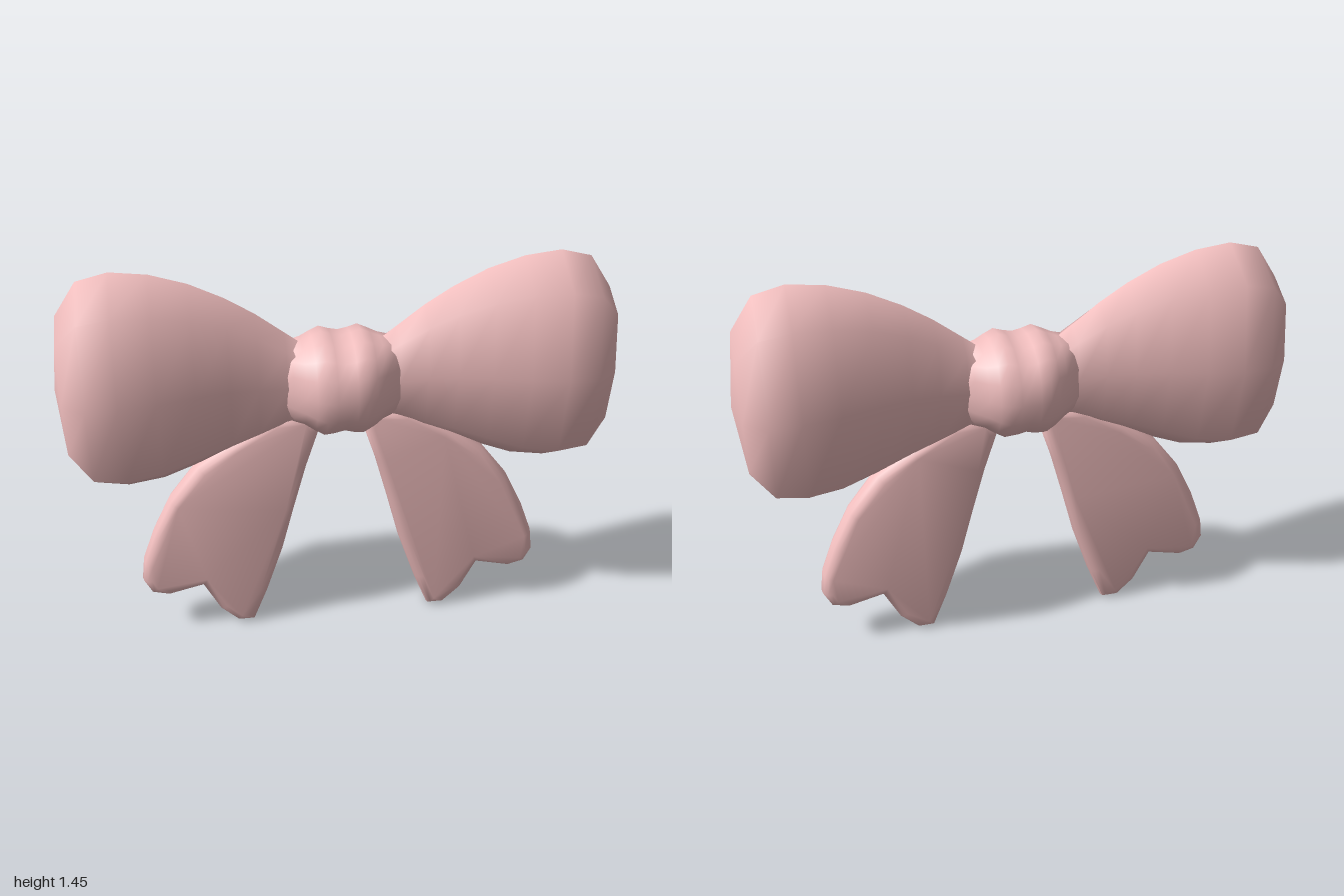
import * as THREE from 'three';
import { mergeVertices, toCreasedNormals } from 'three/addons/utils/BufferGeometryUtils.js';

const pink = new THREE.MeshStandardMaterial({ color: 0xf2bfbf });

// Smooth skin over rings along x; each station is [x, top, bottom, half depth]
function loft(stations, sides, fullness) {
  const pos = [], index = [];
  const fuller = (v) => Math.sign(v) * Math.abs(v) ** fullness;
  for (const [x, top, bottom, depth] of stations) {
    for (let j = 0; j < sides; j++) {
      const a = (j / sides) * Math.PI * 2;
      pos.push(x, (top + bottom) / 2 + ((top - bottom) / 2) * fuller(Math.cos(a)), depth * fuller(Math.sin(a)));
    }
  }
  for (let i = 0; i < stations.length - 1; i++) {
    for (let j = 0; j < sides; j++) {
      const k = (j + 1) % sides;
      const a = i * sides + j, b = i * sides + k;
      index.push(a, b, a + sides, b, b + sides, a + sides);
    }
  }
  const g = new THREE.BufferGeometry();
  g.setAttribute('position', new THREE.Float32BufferAttribute(pos, 3));
  g.setIndex(index);
  const merged = mergeVertices(g, 1e-4);
  merged.computeVertexNormals();
  return merged;
}

const mirrored = (stations) => stations.map(([x, ...rest]) => [-x, ...rest]).reverse();

// Puffed loop, from inside the knot to the closed outer end
const loopStations = [
  [0.05, 1.13, 0.89, 0.09], [0.14, 1.16, 0.87, 0.095], [0.2, 1.205, 0.85, 0.1],
  [0.3, 1.28, 0.8, 0.115], [0.4, 1.342, 0.762, 0.14], [0.52, 1.4, 0.71, 0.17],
  [0.65, 1.44, 0.66, 0.2], [0.78, 1.455, 0.64, 0.22], [0.89, 1.428, 0.658, 0.212],
  [0.97, 1.31, 0.77, 0.145], [1.0, 1.04, 1.04, 0],
];

// Knot with soft folds around its girth
const knotHalf = [
  [0, 1.18, 0.835, 0.2], [0.035, 1.188, 0.825, 0.2], [0.07, 1.2, 0.82, 0.197],
  [0.105, 1.185, 0.84, 0.183], [0.14, 1.17, 0.862, 0.155], [0.18, 1.165, 0.87, 0.115],
  [0.22, 1.13, 0.9, 0.08],
];

// Notched ribbon tail with rounded edges
function tailGeometry(side) {
  const outline = [
    [0.345, 0.005], [0.41, 0.005], [0.48, 0.07], [0.54, 0.185], [0.67, 0.155],
    [0.735, 0.172], [0.765, 0.23], [0.755, 0.31], [0.71, 0.43], [0.64, 0.57],
    [0.53, 0.71], [0.4, 0.8], [0.25, 0.89], [0.11, 0.9], [0.08, 0.83],
    [0.13, 0.68], [0.18, 0.5], [0.225, 0.33], [0.29, 0.14],
  ].map(([x, y]) => new THREE.Vector2(side * x, y));
  const g = new THREE.ExtrudeGeometry(new THREE.Shape(outline), {
    depth: 0.02, bevelThickness: 0.045, bevelSize: 0.035, bevelOffset: -0.035, bevelSegments: 3,
  });
  g.translate(0, 0, -0.01);
  return toCreasedNormals(g, 1.1);
}

export function createModel() {
  const model = new THREE.Group();
  const add = (name, geometry) => {
    const mesh = new THREE.Mesh(geometry, pink);
    mesh.name = name;
    model.add(mesh);
  };
  add('leftLoop', loft(loopStations, 8, 0.83));
  add('rightLoop', loft(mirrored(loopStations), 8, 0.83));
  add('knot', loft([...mirrored(knotHalf.slice(1)), ...knotHalf], 16, 0.9));
  add('leftTail', tailGeometry(1));
  add('rightTail', tailGeometry(-1));
  return model;
}
